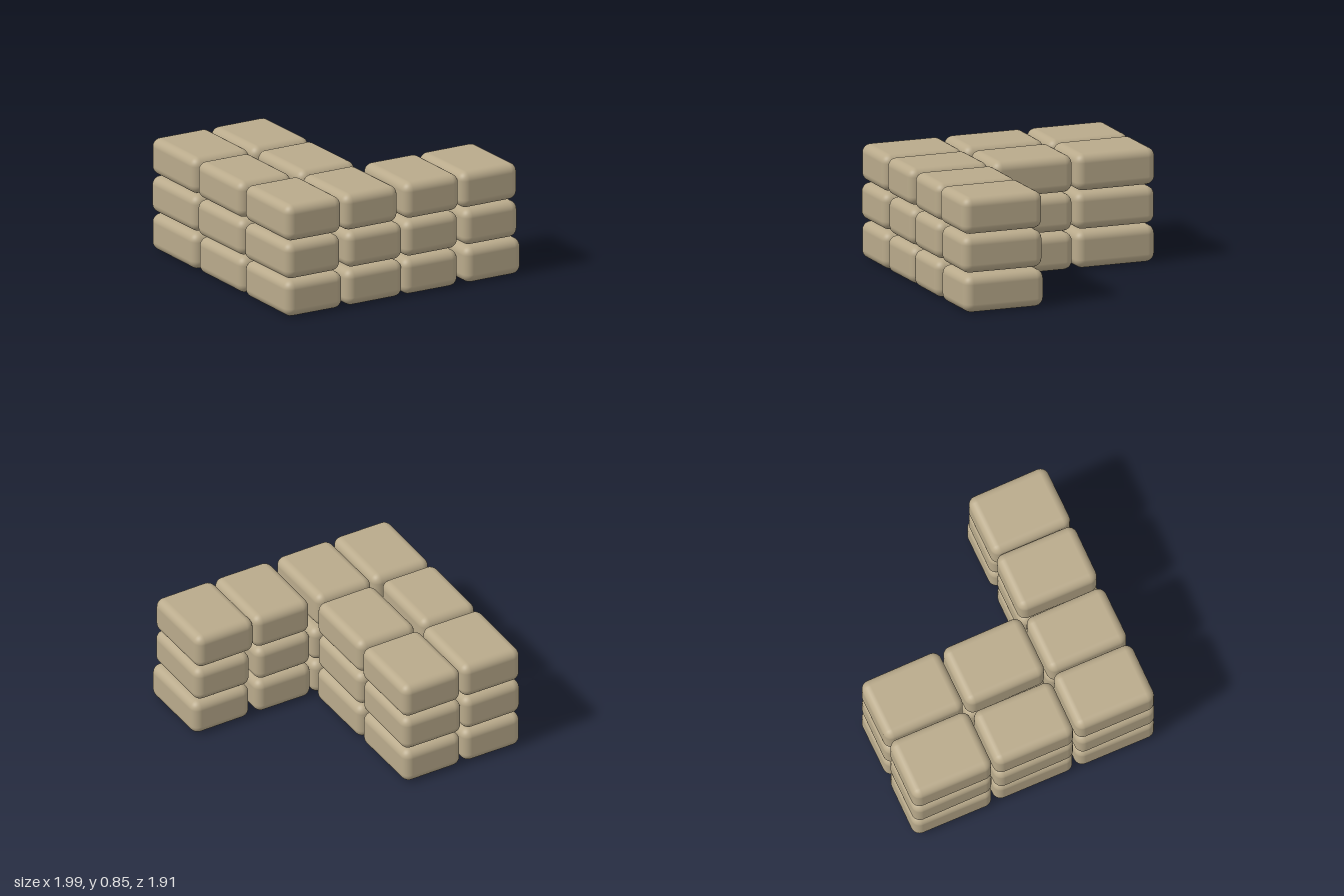
import * as THREE from 'three';
import { RoundedBoxGeometry } from 'three/addons/geometries/RoundedBoxGeometry.js';

// Left and right edge of every bag, by layer (bottom first) and by row
const LAYERS = [
  {
    front: [[-0.99, -0.51], [-0.49, -0.005], [0, 0.465], [0.515, 0.995]],
    middle: [[-0.985, -0.515], [-0.485, -0.005]],
    back: [[-0.99, -0.51], [-0.49, -0.01]],
  },
  {
    front: [[-0.995, -0.53], [-0.48, -0.005], [0.005, 0.465], [0.51, 0.97]],
    middle: [[-0.995, -0.52], [-0.49, -0.01]],
    back: [[-0.99, -0.51], [-0.5, -0.01]],
  },
  {
    front: [[-0.99, -0.52], [-0.505, -0.045], [0.01, 0.475], [0.48, 0.965]],
    middle: [[-0.995, -0.545], [-0.49, -0.01]],
    back: [[-0.99, -0.505], [-0.49, -0.005]],
  },
];
const ROW_Z = { front: 0.643, middle: 0, back: -0.643 };
const HEIGHT = 0.274, PITCH = 0.286, DEPTH = 0.624, RADIUS = 0.065;

export function createModel() {
  const model = new THREE.Group();
  model.name = 'sandbagCorner';
  const canvas = new THREE.MeshStandardMaterial({ color: 0xb9aa8b });
  canvas.name = 'tan canvas';

  LAYERS.forEach((rows, level) => {
    const layer = new THREE.Group();
    layer.name = `bagLayer${level + 1}`;
    for (const [row, spans] of Object.entries(rows)) {
      spans.forEach(([x0, x1], i) => {
        // Softly rounded bag, set down very slightly askew
        const bag = new THREE.Mesh(
          new RoundedBoxGeometry(x1 - x0, HEIGHT, DEPTH, 4, RADIUS), canvas);
        bag.name = `${row}Bag${i + 1}`;
        bag.position.set((x0 + x1) / 2, 0.003 + HEIGHT / 2 + level * PITCH, ROW_Z[row]);
        bag.rotation.y = ((i + level) % 2 ? 1 : -1) * 0.006;
        layer.add(bag);
      });
    }
    model.add(layer);
  });
  return model;
}
